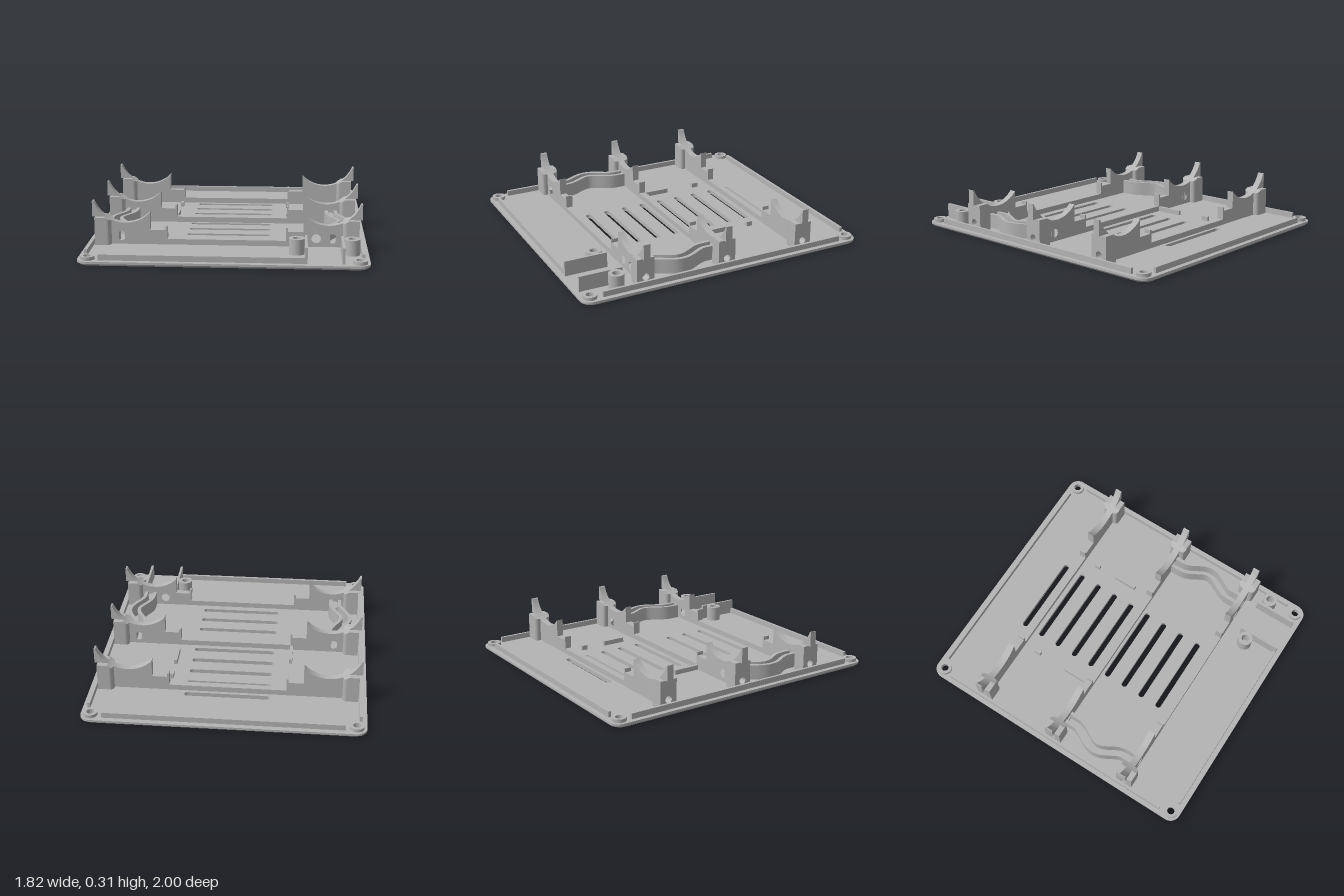
import * as THREE from 'three';
import { toCreasedNormals } from 'three/addons/utils/BufferGeometryUtils.js';

const FLOOR = 0.028;
const RIB_Z = [-0.585, -0.012, 0.563];
const CRADLE = { x: 0.66, y: 0.39, r: 0.22 };

export function createModel() {
  const model = new THREE.Group();
  model.name = 'enclosureBase';
  const grey = new THREE.MeshStandardMaterial({ color: 0xb4b4b4 });
  grey.name = 'grey plastic';

  const add = (name, geometry, mirror = false) => {
    const mesh = new THREE.Mesh(toCreasedNormals(geometry, 0.5), grey);
    mesh.name = name;
    if (mirror) mesh.scale.x = -1;
    model.add(mesh);
    return mesh;
  };
  const box = (name, x0, x1, y0, y1, z0, z1) =>
    add(name, new THREE.BoxGeometry(x1 - x0, y1 - y0, z1 - z0)
      .translate((x0 + x1) / 2, (y0 + y1) / 2, (z0 + z1) / 2));
  // Extrudes a plan drawn in (x, -z) upwards from y0 to y1
  const extrudeUp = (shape, y0, y1, steps = 1) =>
    new THREE.ExtrudeGeometry(shape, { depth: y1 - y0, steps, bevelEnabled: false, curveSegments: 16 })
      .rotateX(-Math.PI / 2).translate(0, y0, 0);
  const circle = (x, y, r) => new THREE.Path().absarc(x, y, r, 0, Math.PI * 2, true);
  const rect = (x, y, w, h) => new THREE.Path([[-1, -1], [-1, 1], [1, 1], [1, -1]]
    .map(([a, b]) => new THREE.Vector2(x + a * w / 2, y + b * h / 2)));
  const ring = (name, x, z, outer, inner, height) => {
    const s = new THREE.Shape().absarc(x, -z, outer, 0, Math.PI * 2);
    s.holes.push(circle(x, -z, inner));
    add(name, extrudeUp(s, FLOOR - 0.003, height));
  };

  // Base plate: rounded corners, vent slots, screw holes and latch pockets
  const plate = new THREE.Shape();
  const cx = 0.84, cz = 0.93, cr = 0.07;
  plate.absarc(cx, cz, cr, 0, Math.PI / 2);
  plate.absarc(-cx, cz, cr, Math.PI / 2, Math.PI);
  plate.absarc(-cx, -cz, cr, Math.PI, Math.PI * 1.5);
  plate.absarc(cx, -cz, cr, Math.PI * 1.5, Math.PI * 2);
  for (let i = 0; i < 9; i++) {
    const y = 0.65 - i * 0.14;
    const slot = new THREE.Path();
    slot.absarc(0.26, y, 0.02, Math.PI / 2, -Math.PI / 2, true);
    slot.absarc(-0.26, y, 0.02, -Math.PI / 2, -Math.PI * 1.5, true);
    plate.holes.push(slot);
  }
  const screwX = 0.845, screwZ = 0.935;
  for (const s of [-1, 1]) {
    for (const t of [-1, 1]) plate.holes.push(circle(s * screwX, t * screwZ, 0.025));
    for (const z of RIB_Z) plate.holes.push(rect(s * 0.83, -z, 0.035, 0.05));
  }
  const plateGeo = extrudeUp(plate, 0, FLOOR, 2);
  const p = plateGeo.attributes.position;
  for (let i = 0; i < p.count; i++) {
    if (p.getY(i) > 0.001) continue;
    const x = p.getX(i), z = p.getZ(i);
    const hx = Math.sign(x) * screwX, hz = Math.sign(z) * screwZ;
    if (Math.hypot(x - hx, z - hz) < 0.03) {
      // countersink of the screw holes
      p.setX(i, hx + (x - hx) * 1.55);
      p.setZ(i, hz + (z - hz) * 1.55);
    } else if (Math.abs(x) > 0.88 || Math.abs(z) > 0.97) {
      // chamfer of the lower edge
      p.setX(i, x * 0.984);
      p.setZ(i, z * 0.986);
    }
  }
  add('basePlate', plateGeo);

  // Rim walls and corner bosses
  for (const s of [-1, 1]) {
    box('sideRim', s * 0.87 - 0.009, s * 0.87 + 0.009, 0.02, 0.065, -0.865, 0.86);
    for (const t of [-1, 1]) ring('cornerBoss', s * screwX, t * screwZ, 0.046, 0.025, 0.05);
  }
  box('backRim', -0.775, 0.77, 0.02, 0.065, -0.967, -0.948);
  box('frontRim', -0.775, 0.505, 0.02, 0.065, 0.945, 0.964);

  // Cross ribs with a round cradle at either end
  const half = [[0.385, 0.065], [0.385, 0.15], [0.397, 0.15], [0.397, 0.125], [0.497, 0.125]];
  const a0 = Math.PI + 0.735, a1 = Math.PI * 2 - 0.372;
  for (let i = 0; i <= 20; i++) {
    const a = a0 + (a1 - a0) * i / 20;
    half.push([CRADLE.x + CRADLE.r * Math.cos(a), CRADLE.y + CRADLE.r * Math.sin(a)]);
  }
  half.push([0.875, 0.312], [0.875, 0.21], [0.8, 0.21], [0.8, 0.02]);
  const outline = [...half.map(([x, y]) => new THREE.Vector2(-x, y)).reverse(),
    ...half.map(([x, y]) => new THREE.Vector2(x, y))];
  const ribHoles = [[], [-0.685, 0.685], [-0.685, 0.685, 0.58]];
  RIB_Z.forEach((z, i) => {
    const s = new THREE.Shape(outline);
    for (const x of ribHoles[i]) s.holes.push(circle(x, 0.083, 0.03));
    add('cradleRib', new THREE.ExtrudeGeometry(s, { depth: 0.046, bevelEnabled: false, curveSegments: 16 })
      .translate(0, 0, z - 0.023));
  });

  // Support blocks: cross-bored, rounded inside and trimmed to the cradle
  const side = new THREE.Shape([[-0.06, 0.02], [0.06, 0.02], [0.06, 0.21], [-0.06, 0.21]]
    .map(([x, y]) => new THREE.Vector2(x, y)));
  side.holes.push(circle(0, 0.083, 0.024));
  const blockGeo = new THREE.ExtrudeGeometry(side, { depth: 0.105, steps: 20, bevelEnabled: false, curveSegments: 12 })
    .rotateY(Math.PI / 2).translate(0.75, 0, 0);
  const b = blockGeo.attributes.position, round = 0.025;
  for (let i = 0; i < b.count; i++) {
    const x = b.getX(i), z = b.getZ(i), t = round - (x - 0.75);
    if (Math.abs(z) > 0.05 && t > 0) {
      b.setZ(i, Math.sign(z) * (0.06 - round + Math.sqrt(Math.max(0, round * round - t * t))));
    }
    const arc = CRADLE.y - Math.sqrt(CRADLE.r ** 2 - (x - CRADLE.x) ** 2);
    b.setY(i, Math.min(b.getY(i), arc));
  }
  for (const z of RIB_Z) {
    for (const mirror of [false, true]) add('supportBlock', blockGeo, mirror).position.z = z;
  }

  // Wavy cable channels between the middle and front ribs
  const wave = z => {
    const t = Math.min(1, Math.abs(z - 0.275) / 0.2);
    return 0.69 + 0.0375 * (1 + Math.cos(Math.PI * t));
  };
  for (const offset of [-0.032, 0.032]) {
    const inner = [], outer = [];
    for (let i = 0; i <= 32; i++) {
      const z = 0.005 + 0.54 * i / 32;
      const slope = (wave(z + 0.001) - wave(z - 0.001)) / 0.002;
      const n = new THREE.Vector2(1, slope).normalize();
      const at = d => new THREE.Vector2(wave(z) + n.x * d, -z + n.y * d);
      inner.push(at(offset - 0.012));
      outer.push(at(offset + 0.012));
    }
    const wall = extrudeUp(new THREE.Shape([...inner, ...outer.reverse()]), 0.02, 0.126);
    for (const mirror of [false, true]) add('cableChannelWall', wall, mirror);
  }

  // Small locating tabs on the floor
  for (const [x, z0, z1] of [[-0.395, -0.475, -0.425], [-0.395, -0.22, -0.03],
    [0.388, -0.475, -0.435], [0.388, -0.295, -0.135]]) {
    box('locatingTab', x - 0.011, x + 0.011, 0.02, 0.06, z0, z1);
  }

  // Connector bay in the front left corner with its two screw posts
  box('bayWall', 0.505, 0.522, 0.02, 0.13, 0.675, 0.965);
  box('bayWall', 0.735, 0.752, 0.02, 0.13, 0.675, 0.965);
  box('postLink', 0.495, 0.51, 0.02, 0.13, 0.725, 0.755);
  box('postLink', 0.748, 0.765, 0.02, 0.13, 0.725, 0.755);
  for (const x of [0.455, 0.805]) ring('screwPost', x, 0.74, 0.05, 0.026, 0.13);

  return model;
}
